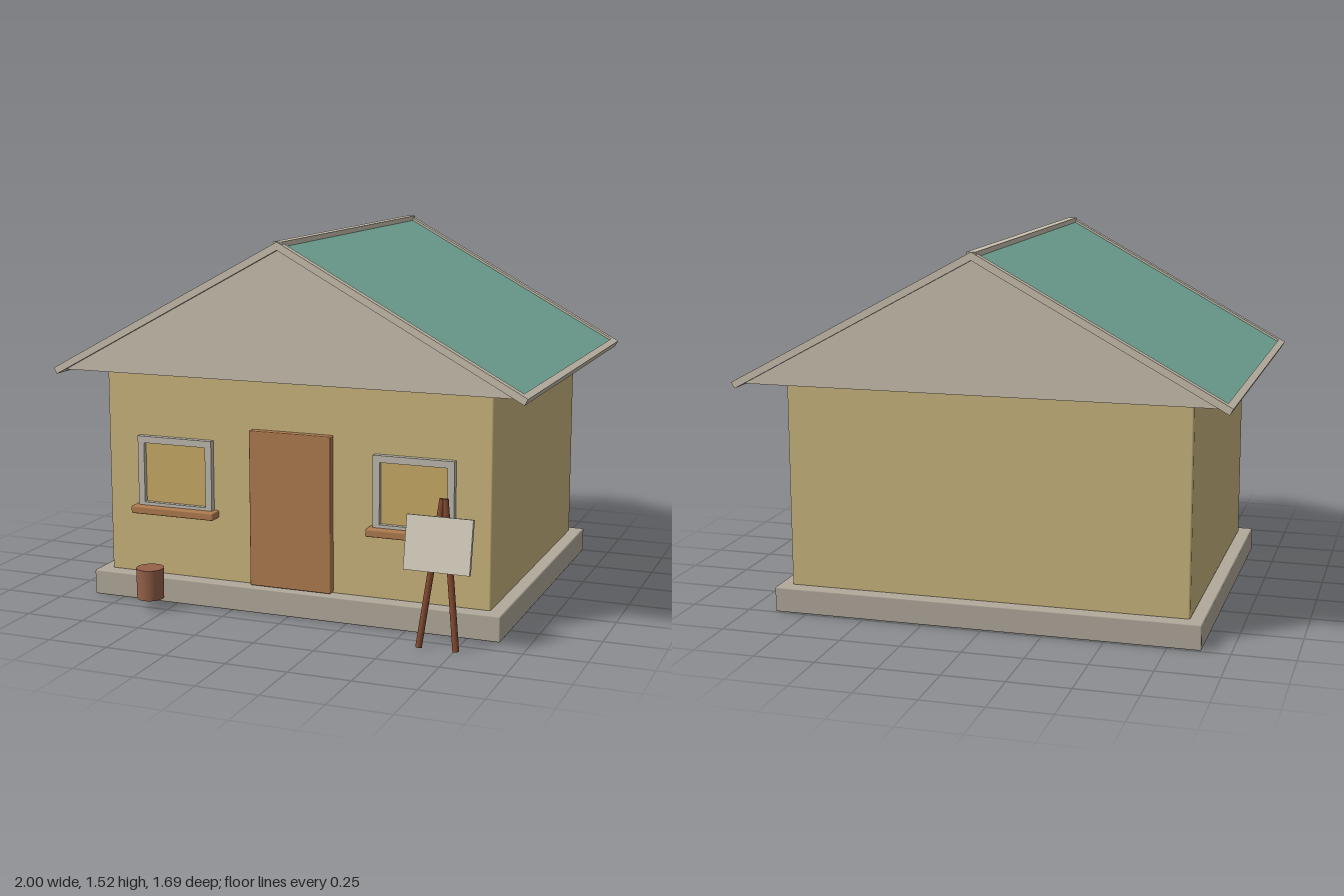
import * as THREE from 'three';
import { RoundedBoxGeometry } from 'three/addons/geometries/RoundedBoxGeometry.js';

const mat = (name, color, side = THREE.FrontSide) => {
  const m = new THREE.MeshStandardMaterial({ color, side });
  m.name = name;
  return m;
};

export function createModel() {
  const house = new THREE.Group();
  house.name = 'house';

  const wall = mat('ochre plaster', 0xcab57d);
  const roof = mat('green roofing', 0x74ab9b);
  const stone = mat('grey stone', 0xb1a99b);
  const trim = mat('pale trim', 0xc9c0af);
  const wood = mat('door wood', 0xb07c50);
  const frame = mat('window frame', 0xbfbaae);
  const pane = mat('amber pane', 0xc8aa64);
  const darkWood = mat('dark wood', 0x80492f);
  const clay = mat('clay', 0x96614a);
  const canvas = mat('canvas', 0xd3ccbc);

  const add = (name, geometry, material, parent = house) => {
    const m = new THREE.Mesh(geometry, material);
    m.name = name;
    parent.add(m);
    return m;
  };
  // Box given by its min and max corners, optionally with softened edges
  const box = (name, material, [x0, y0, z0], [x1, y1, z1], r = 0, parent = house) => {
    const s = [x1 - x0, y1 - y0, z1 - z0];
    const g = r ? new RoundedBoxGeometry(...s, 1, r) : new THREE.BoxGeometry(...s);
    const m = add(name, g, material, parent);
    m.position.set((x0 + x1) / 2, (y0 + y1) / 2, (z0 + z1) / 2);
    return m;
  };

  // Foundation and walls
  box('foundation', stone, [-0.885, 0, -0.745], [0.885, 0.105, 0.66], 0.006);
  box('walls', wall, [-0.83, 0.1, -0.69], [0.83, 0.99, 0.603], 0.008);

  // Solid gable prism under the roof
  const half = 0.98, eaveY = 0.968, ridgeY = 1.502, zFront = 0.73, zBack = -0.825;
  const zMid = (zFront + zBack) / 2, depth = zFront - zBack;
  const slope = Math.atan2(ridgeY - eaveY, half);
  const run = Math.hypot(half, ridgeY - eaveY);
  const tri = new THREE.Shape([
    new THREE.Vector2(-half, eaveY), new THREE.Vector2(half, eaveY), new THREE.Vector2(0, ridgeY),
  ]);
  add('gable', new THREE.ExtrudeGeometry(tri, { depth, bevelEnabled: false }), trim).position.z = zBack;

  // Each roof slope: covering, eave trim and two rake trims
  for (const side of [1, -1]) {
    const slopeGroup = new THREE.Group();
    slopeGroup.name = side > 0 ? 'leftRoofSlope' : 'rightRoofSlope';
    slopeGroup.position.set(side * half / 2, (eaveY + ridgeY) / 2, zMid);
    slopeGroup.rotation.z = -side * slope;
    house.add(slopeGroup);
    add('roofCovering', new THREE.BoxGeometry(run, 0.008, depth - 0.01), roof, slopeGroup).position.y = 0.001;
    add('eaveTrim', new THREE.BoxGeometry(0.028, 0.028, 1.59), trim, slopeGroup).position.x = side * run / 2;
    for (const end of [1, -1]) {
      const rake = add('rakeTrim', new THREE.BoxGeometry(run + 0.014, 0.028, 0.034), trim, slopeGroup);
      rake.position.z = end * depth / 2;
    }
  }
  box('ridgeTrim', trim, [-0.018, 1.488, -0.835], [0.018, 1.518, 0.737]);

  // Door
  box('door', wood, [-0.177, 0.108, 0.59], [0.174, 0.75, 0.636], 0.004);

  // Windows with frame, pane and sill
  for (const side of [1, -1]) {
    const win = new THREE.Group();
    win.name = side > 0 ? 'leftWindow' : 'rightWindow';
    win.position.x = side * 0.517;
    house.add(win);
    box('pane', pane, [-0.145, 0.39, 0.6], [0.145, 0.67, 0.609], 0, win);
    for (const s of [1, -1]) {
      box('frameSide', frame, [s * 0.153 - 0.014, 0.39, 0.6], [s * 0.153 + 0.014, 0.69, 0.628], 0, win);
    }
    box('frameTop', frame, [-0.14, 0.662, 0.6], [0.14, 0.69, 0.628], 0, win);
    box('frameBottom', frame, [-0.14, 0.39, 0.6], [0.14, 0.412, 0.628], 0, win);
    box('sill', wood, [-0.187, 0.367, 0.595], [0.187, 0.399, 0.662], 0.006, win);
  }

  // Pot beside the steps
  add('pot', new THREE.CylinderGeometry(0.057, 0.055, 0.127, 32), clay).position.set(-0.575, 0.107, 0.748);

  // Easel: two leaning legs and a tilted canvas
  const easel = new THREE.Group();
  easel.name = 'easel';
  easel.position.x = 0.684;
  house.add(easel);
  const up = new THREE.Vector3(0, 1, 0);
  for (const side of [1, -1]) {
    const foot = new THREE.Vector3(side * 0.074, 0.002, 0.822);
    const top = new THREE.Vector3(side * 0.005, 0.574, 0.756);
    const dir = top.clone().sub(foot);
    const leg = add('easelLeg', new THREE.CylinderGeometry(0.013, 0.013, dir.length(), 12), darkWood, easel);
    leg.position.copy(foot).add(top).multiplyScalar(0.5);
    leg.quaternion.setFromUnitVectors(up, dir.normalize());
  }
  const board = add('canvas', new THREE.BoxGeometry(0.262, 0.21, 0.018), canvas, easel);
  board.position.set(0, 0.411, 0.817);
  board.rotation.x = -0.2;

  return house;
}
